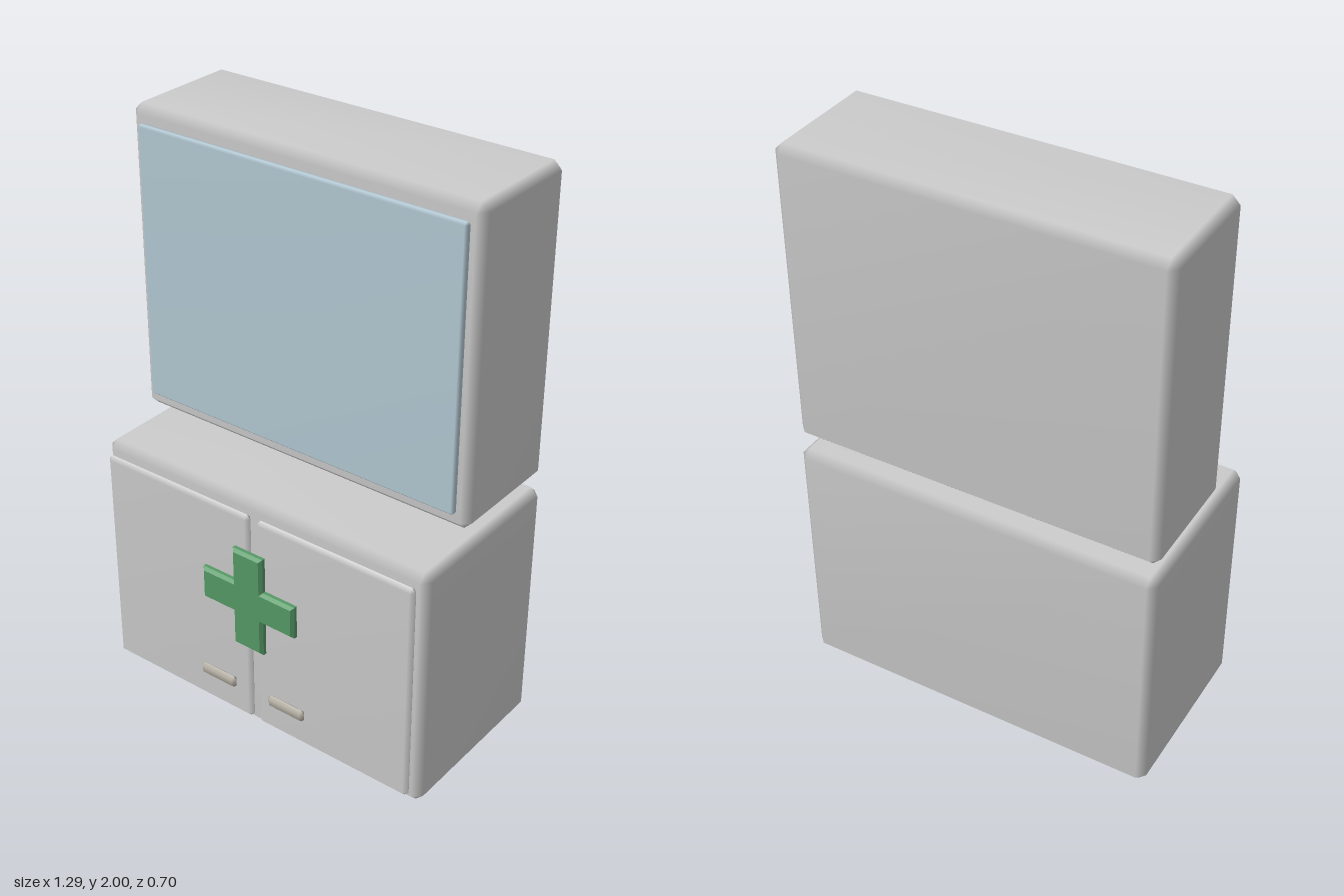
import * as THREE from 'three';
import { mergeVertices } from 'three/addons/utils/BufferGeometryUtils.js';
import { ConvexGeometry } from 'three/addons/geometries/ConvexGeometry.js';

const paint = (color) => new THREE.MeshStandardMaterial({ color });

// Box with one-step chamfers and smooth shading, given by its min and max corners
function chamferBox(name, min, max, c, material) {
  const half = min.map((v, i) => (max[i] - v) / 2);
  const points = [];
  for (const sx of [-1, 1]) for (const sy of [-1, 1]) for (const sz of [-1, 1]) {
    for (let axis = 0; axis < 3; axis++) {
      const p = [sx, sy, sz].map((s, i) => s * (half[i] - (i === axis ? 0 : c)));
      points.push(new THREE.Vector3(...p));
    }
  }
  let geometry = new ConvexGeometry(points);
  geometry.deleteAttribute('normal');
  geometry = mergeVertices(geometry, 1e-5);
  geometry.computeVertexNormals();
  const mesh = new THREE.Mesh(geometry, material);
  mesh.name = name;
  mesh.position.set(...min.map((v, i) => v + half[i]));
  return mesh;
}

// Plus-shaped plate with bevelled edges, standing in the xy plane
function crossPlate(reach, arm, depth, bevel, material) {
  const corners = [];
  for (let i = 0; i < 4; i++) {
    const turn = (i * Math.PI) / 2;
    for (const [x, y] of [[reach, -arm], [reach, arm], [arm, arm]]) {
      corners.push(new THREE.Vector2(x, y).rotateAround(new THREE.Vector2(), turn));
    }
  }
  const geometry = new THREE.ExtrudeGeometry(new THREE.Shape(corners), {
    depth: depth - 2 * bevel, bevelEnabled: true, bevelSegments: 1,
    bevelSize: bevel, bevelThickness: bevel, bevelOffset: -bevel,
  });
  geometry.translate(0, 0, bevel);
  const mesh = new THREE.Mesh(geometry, material);
  mesh.name = 'greenCross';
  return mesh;
}

export function createModel() {
  const group = new THREE.Group();
  group.name = 'medicalCabinet';
  const grey = paint(0xcccccc);
  const glass = paint(0xb4cad4);
  const green = paint(0x569a66);
  const metal = paint(0xb2aca0);

  // Cabinet bodies, with a narrow gap between them
  group.add(chamferBox('lowerCabinet', [-0.645, 0.005, -0.35], [0.645, 0.893, 0.29], 0.027, grey));
  group.add(chamferBox('upperCabinet', [-0.645, 0.943, -0.34], [0.645, 2, 0.088], 0.027, grey));

  // Glass front of the upper cabinet
  group.add(chamferBox('glassPanel', [-0.603, 1.0, 0.08], [0.603, 1.945, 0.106], 0.008, glass));

  // Pair of doors and their handles
  for (const [side, s] of [['left', 1], ['right', -1]]) {
    const span = (a, b) => (s > 0 ? [a, b] : [-b, -a]);
    const [d0, d1] = span(0.014, 0.617);
    const [h0, h1] = span(0.069, 0.217);
    group.add(chamferBox(side + 'Door', [d0, 0.045, 0.29], [d1, 0.855, 0.32], 0.0145, grey));
    group.add(chamferBox(side + 'Handle', [h0, 0.155, 0.318], [h1, 0.2, 0.343], 0.012, metal));
  }

  // Cross across the two doors
  const cross = crossPlate(0.187, 0.06, 0.032, 0.01, green);
  cross.position.set(0, 0.55, 0.318);
  group.add(cross);

  return group;
}
